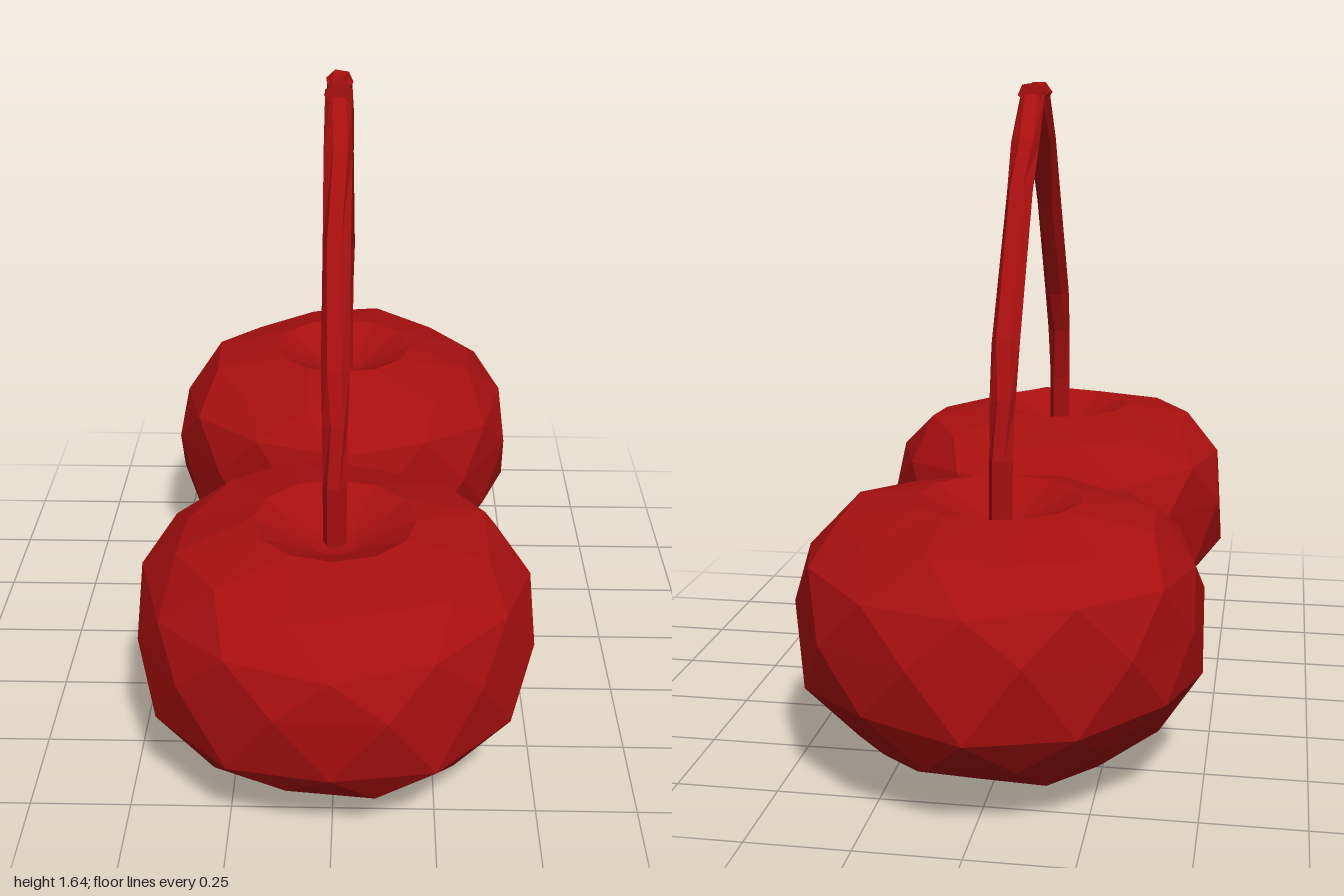
import * as THREE from 'three';

const red = new THREE.MeshStandardMaterial({ color: 0xa80f0f, flatShading: true });

// Skins a stack of equal-length rings, every second ring turned by half a step if staggered
function skin(rings, staggered, name) {
  const n = rings[0].length;
  const positions = [];
  const tri = (...points) => points.forEach((p) => positions.push(p.x, p.y, p.z));
  for (let j = 0; j < rings.length - 1; j++) {
    const a = rings[j], b = rings[j + 1];
    for (let i = 0; i < n; i++) {
      const k = (i + 1) % n;
      if (staggered && j % 2 === 1) {
        tri(a[i], b[i], b[k]);
        tri(a[i], b[k], a[k]);
      } else {
        tri(a[i], b[i], a[k]);
        tri(a[k], b[i], b[k]);
      }
    }
  }
  const geometry = new THREE.BufferGeometry();
  geometry.setAttribute('position', new THREE.Float32BufferAttribute(positions, 3));
  geometry.computeVertexNormals();
  const mesh = new THREE.Mesh(geometry, red);
  mesh.name = name;
  return mesh;
}

// Cherry profile from the stem dimple down to the base: [radius, height]
const profile = [
  [0, 0.61], [0.06, 0.62], [0.2, 0.686], [0.385, 0.64], [0.474, 0.55],
  [0.498, 0.43], [0.488, 0.27], [0.405, 0.165], [0.3, 0.085], [0.1, 0], [0, 0],
];

function cherry(name, z, seed) {
  const sides = 12;
  const rings = profile.map(([r, y], j) => {
    const uneven = j > 2 && j < 9 ? 1 : 0;
    return Array.from({ length: sides }, (_, i) => {
      const angle = ((i + (j % 2) * 0.5) / sides) * Math.PI * 2;
      const wobble = uneven * Math.sin(i * 2.4 + j * 1.7 + seed);
      const radius = r * (1 + 0.012 * wobble);
      return new THREE.Vector3(
        radius * Math.sin(angle),
        y + 0.014 * uneven * Math.cos(i * 1.9 + j * 2.3 + seed),
        radius * Math.cos(angle) * 0.975,
      );
    });
  });
  const mesh = skin(rings, true, name);
  mesh.position.z = z;
  return mesh;
}

// Six-sided twig with closed ends along a path in the yz plane: [z, y, radius]
function twig(name, path) {
  const sides = 6;
  const ring = ([z, y], r, j) => {
    const p = path[Math.max(j - 1, 0)], q = path[Math.min(j + 1, path.length - 1)];
    const along = new THREE.Vector2(q[0] - p[0], q[1] - p[1]).normalize();
    return Array.from({ length: sides }, (_, i) => {
      const angle = (i / sides) * Math.PI * 2 + Math.PI / 6 + 0.25 * Math.sin(j * 2);
      const across = r * Math.cos(angle) * 0.85;
      return new THREE.Vector3(r * Math.sin(angle) * 1.05, y + along.x * across, z - along.y * across);
    });
  };
  const last = path.length - 1;
  const rings = [
    ring(path[0], 0, 0),
    ...path.map((p, j) => ring(p, p[2], j)),
    ring(path[last], 0, last),
  ];
  return skin(rings, false, name);
}

export function createModel() {
  const group = new THREE.Group();
  group.name = 'cherryPair';

  // Fruit
  group.add(cherry('frontCherry', 0.515, 0));
  group.add(cherry('backCherry', -0.515, 2.1));

  // Stems, from the shared knot down into each dimple
  group.add(twig('frontStem', [
    [0.05, 1.62, 0.032], [0.15, 1.49, 0.034], [0.275, 1.31, 0.033], [0.43, 1.04, 0.033],
    [0.475, 0.92, 0.03], [0.503, 0.77, 0.028], [0.505, 0.6, 0.028],
  ]));
  group.add(twig('backStem', [
    [-0.01, 1.62, 0.03], [-0.14, 1.495, 0.034], [-0.22, 1.385, 0.032], [-0.43, 1.04, 0.033],
    [-0.475, 0.91, 0.03], [-0.5, 0.77, 0.028], [-0.505, 0.6, 0.028],
  ]));

  // Knot joining the stems
  group.add(twig('stemKnot', [
    [0.088, 1.617, 0.034], [0.02, 1.615, 0.026], [-0.048, 1.618, 0.033],
  ]));

  return group;
}
